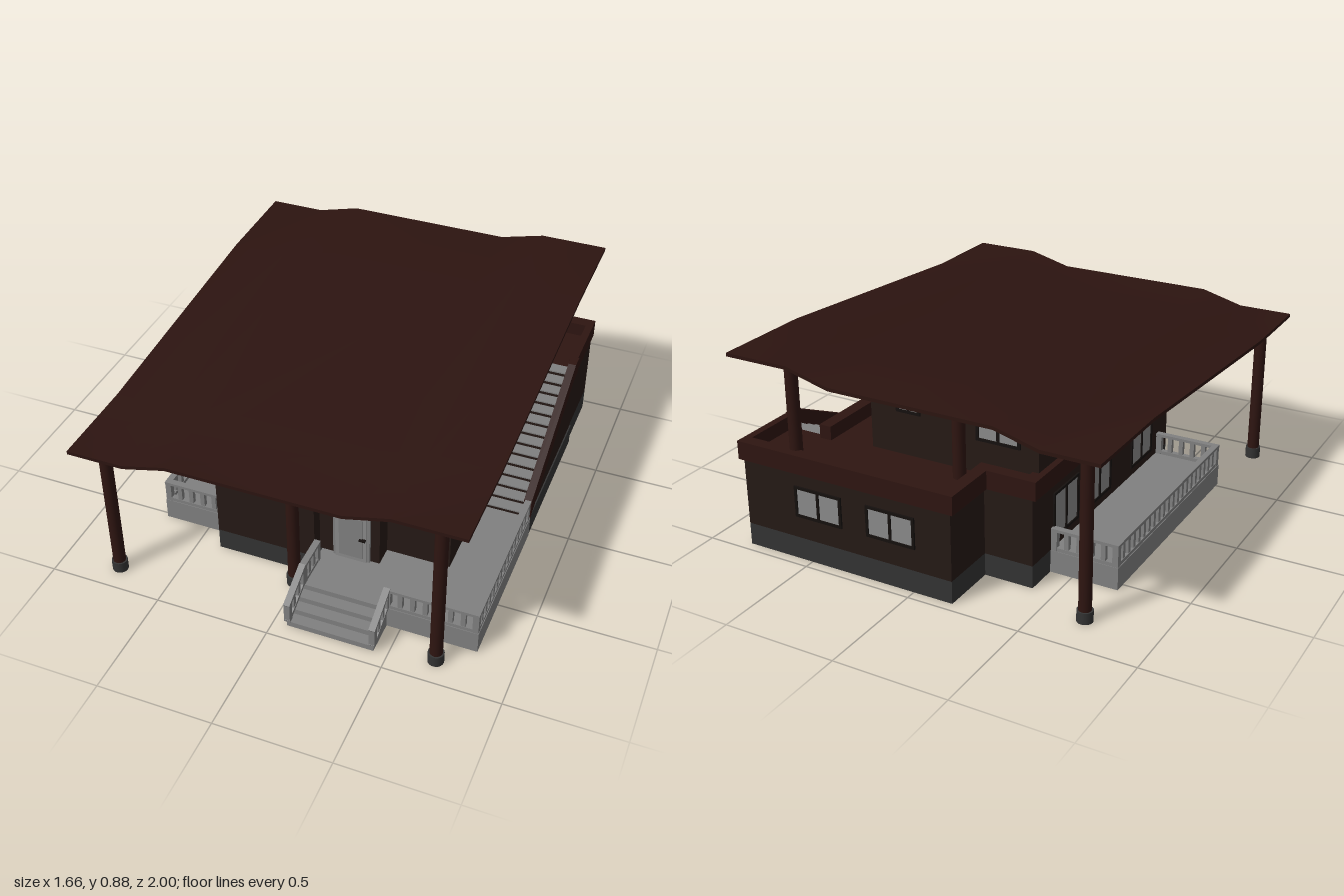
import * as THREE from 'three';

const mat = (color) => new THREE.MeshStandardMaterial({ color });
const ROOF = mat(0x2c1410), TRIM = mat(0x2e1511), WALL = mat(0x251915), BASE = mat(0x333333);
const STONE = mat(0x808080), GLASS = mat(0x8a8a8a), FRAME = mat(0x15100e);

export function createModel() {
  const model = new THREE.Group();

  const add = (name, geometry, material, parent = model) => {
    const mesh = new THREE.Mesh(geometry, material);
    mesh.name = name;
    parent.add(mesh);
    return mesh;
  };
  // Box given by its lower and upper limits on each axis
  const box = (name, x0, x1, y0, y1, z0, z1, material, parent) => {
    const mesh = add(name, new THREE.BoxGeometry(x1 - x0, y1 - y0, z1 - z0), material, parent);
    mesh.position.set((x0 + x1) / 2, (y0 + y1) / 2, (z0 + z1) / 2);
    return mesh;
  };
  // Footprint of [x, z] points raised from y0 to y1
  const slab = (name, points, y0, y1, material) => {
    const shape = new THREE.Shape(points.map(([x, z]) => new THREE.Vector2(x, z)));
    const geometry = new THREE.ExtrudeGeometry(shape, { depth: y1 - y0, bevelEnabled: false });
    geometry.rotateX(Math.PI / 2).translate(0, y1, 0);
    return add(name, geometry, material);
  };

  // Ground floor: plinth, walls and terrace deck share one footprint
  const plan = [[-0.4, 0.61], [0.05, 0.61], [0.05, 0.55], [0.32, 0.55], [0.32, 0.46], [0.6, 0.46],
    [0.6, -0.66], [0.82, -0.66], [0.82, -0.955], [-0.18, -0.955], [-0.18, -0.7], [-0.4, -0.7]];
  slab('plinth', plan, 0, 0.1, BASE);
  slab('groundFloorWalls', plan, 0.1, 0.41, WALL);
  slab('terraceDeck', plan, 0.41, 0.43, TRIM);

  // Parapet band along every edge, left open where the stair arrives
  const parapet = new THREE.Group();
  parapet.name = 'parapet';
  model.add(parapet);
  plan.forEach(([x0, z0], i) => {
    if (i === 6) return;
    const [x1, z1] = plan[(i + 1) % plan.length];
    const t = 0.028;
    box('parapetSection', Math.min(x0, x1) - t, Math.max(x0, x1) + (x0 > 0.7 ? 0.005 : t), 0.41, 0.492,
      Math.min(z0, z1) - t, Math.max(z0, z1) + t, TRIM, parapet);
  });

  // Upper floor
  box('upperFloor', -0.4, 0.385, 0.42, 0.757, -0.65, 0.385, WALL);

  // Roof: a thin sheet stepped across its width and sloped along its depth
  const xs = [-0.835, -0.59, -0.4, 0.335, 0.53, 0.825], rise = [0, 0, 0.05, 0.05, 0.1, 0.1];
  const zs = [-1, -0.55, 0.6, 1], slope = [0.08, 0.08, 0, 0];
  const roofGeometry = new THREE.BoxGeometry(5, 0.015, 3, 5, 1, 3);
  const pos = roofGeometry.attributes.position;
  for (let i = 0; i < pos.count; i++) {
    const a = Math.round(pos.getX(i) + 2.5), b = Math.round(pos.getZ(i) + 1.5);
    pos.setXYZ(i, xs[a], 0.697 + pos.getY(i) + rise[a] + slope[b], zs[b]);
  }
  roofGeometry.computeVertexNormals();
  add('roof', roofGeometry, ROOF);

  // Round posts, with a footing where they reach the ground
  const post = (x, z, y0, y1) => {
    const shaft = add('post', new THREE.CylinderGeometry(0.027, 0.027, y1 - y0, 20), TRIM);
    shaft.position.set(x, (y0 + y1) / 2, z);
    if (y0 > 0) return;
    add('postFooting', new THREE.CylinderGeometry(0.034, 0.034, 0.05, 20), BASE).position.set(x, 0.025, z);
  };
  post(-0.74, 0.885, 0, 0.697);
  post(-0.69, -0.81, 0, 0.775);
  post(-0.01, 0.69, 0, 0.745);
  post(0.69, 0.885, 0, 0.795);
  post(0.57, -0.92, 0.43, 0.875);
  post(-0.08, -0.72, 0.43, 0.825);

  // Window built facing +z, then turned towards its wall
  const windowUnit = (x, y, z, w, h, turn) => {
    const unit = new THREE.Group();
    unit.name = 'window';
    unit.position.set(x, y, z);
    unit.rotation.y = turn;
    model.add(unit);
    const b = 0.012;
    for (const s of [-1, 1]) {
      box('frameRail', -w / 2, w / 2, s * (h / 2 - b / 2) - b / 2, s * (h / 2 - b / 2) + b / 2, -0.005, 0.008, FRAME, unit);
      box('frameStile', s * (w / 2 - b / 2) - b / 2, s * (w / 2 - b / 2) + b / 2, -h / 2, h / 2, -0.005, 0.008, FRAME, unit);
      const pane = box('pane', b / 2, w / 2 - b, -h / 2 + b, h / 2 - b, -0.004, 0.003, GLASS, unit);
      pane.position.x *= s;
    }
    box('mullion', -b / 2, b / 2, -h / 2, h / 2, -0.005, 0.008, FRAME, unit);
  };
  const BACK = Math.PI, LEFT = Math.PI / 2, RIGHT = -Math.PI / 2;
  windowUnit(0.25, 0.665, 0.385, 0.115, 0.09, 0);
  windowUnit(0.385, 0.618, -0.1, 0.225, 0.125, LEFT);
  windowUnit(0.2, 0.665, -0.65, 0.115, 0.09, BACK);
  windowUnit(-0.22, 0.64, -0.65, 0.2, 0.13, BACK);
  for (const x of [0.45, 0.1]) windowUnit(x, 0.27, -0.955, 0.23, 0.14, BACK);
  for (const z of [-0.42, -0.11, 0.32]) windowUnit(-0.4, 0.245, z, 0.22, 0.21, RIGHT);
  for (const z of [-0.35, 0.1]) windowUnit(-0.4, 0.642, z, 0.22, 0.135, RIGHT);

  // Front door with frame, raised panels and handle
  box('doorFrame', 0.115, 0.28, 0.1, 0.39, 0.54, 0.562, STONE);
  box('doorLeaf', 0.127, 0.268, 0.1, 0.35, 0.55, 0.568, GLASS);
  box('doorPanel', 0.145, 0.25, 0.12, 0.335, 0.56, 0.572, STONE);
  box('doorHandle', 0.237, 0.265, 0.225, 0.232, 0.565, 0.582, FRAME);

  // Porches
  box('leftPorch', -0.705, -0.4, 0, 0.1, -0.55, 0.52, STONE);
  slab('rightPorch', [[0.06, 0.55], [0.32, 0.55], [0.32, 0.46], [0.6, 0.46], [0.6, 0.04], [0.83, 0.04],
    [0.83, 0.78], [0.06, 0.78]], 0, 0.1, STONE);
  for (let i = 1; i < 4; i++) {
    box('frontStep', 0.06, 0.44, 0, 0.1 - i * 0.025, 0.77, 0.78 + i * 0.05, STONE);
  }

  // Railing between two floor points; slopes when their heights differ
  const beam = (name, a, b, width, height, parent) => {
    const mesh = add(name, new THREE.BoxGeometry(width, height, a.distanceTo(b) + width), STONE, parent);
    mesh.position.copy(a).add(b).multiplyScalar(0.5);
    mesh.lookAt(b);
  };
  const railing = (from, to, height = 0.1) => {
    const rail = new THREE.Group();
    rail.name = 'railing';
    const a = new THREE.Vector3(...from), b = new THREE.Vector3(...to);
    const up = (p, h) => p.clone().setY(p.y + h);
    beam('handrail', up(a, height - 0.006), up(b, height - 0.006), 0.028, 0.013, rail);
    beam('bottomRail', up(a, 0.008), up(b, 0.008), 0.024, 0.016, rail);
    const n = Math.max(2, Math.round(a.distanceTo(b) / 0.05));
    for (let i = 0; i <= n; i++) {
      const p = a.clone().lerp(b, i / n), r = i % n ? 0.01 : 0.013;
      box('baluster', p.x - r, p.x + r, p.y, p.y + height - 0.006, p.z - r, p.z + r, STONE, rail);
    }
    model.add(rail);
  };
  railing([-0.69, 0.1, -0.535], [-0.69, 0.1, 0.505]);
  for (const z of [-0.535, 0.505]) railing([-0.69, 0.1, z], [-0.415, 0.1, z]);
  railing([0.815, 0.1, 0.06], [0.815, 0.1, 0.765]);
  railing([0.44, 0.1, 0.765], [0.815, 0.1, 0.765]);
  railing([0.065, 0.1, 0.625], [0.065, 0.1, 0.765]);
  for (const x of [0.065, 0.435]) railing([x, 0.1, 0.78], [x, 0.03, 0.925]);

  // Outside stair up to the terrace
  box('stairPlinth', 0.6, 0.828, 0, 0.1, -0.66, 0.04, BASE);
  const steps = 14, run = 0.7 / steps, lift = 0.33 / steps;
  for (let i = 0; i < steps; i++) {
    const y = 0.1 + (i + 1) * lift, z = 0.04 - i * run;
    box('stairRiser', 0.6, 0.805, 0.1, y - 0.006, z - run, z, WALL);
    box('stairTread', 0.6, 0.805, y - 0.006, y, z - run, z + 0.006, STONE);
  }
  // Side wall and sloping parapet, drawn as [z, y] profiles
  const sidePanel = (name, points, x0, x1, material) => {
    const shape = new THREE.Shape(points.map(([z, y]) => new THREE.Vector2(-z, y)));
    const geometry = new THREE.ExtrudeGeometry(shape, { depth: x1 - x0, bevelEnabled: false });
    geometry.rotateY(Math.PI / 2).translate(x0, 0, 0);
    add(name, geometry, material);
  };
  sidePanel('stairSideWall', [[0.04, 0.1], [-0.66, 0.1], [-0.66, 0.41], [-0.6, 0.41]], 0.8, 0.822, WALL);
  sidePanel('stairParapet', [[0.04, 0.1], [-0.6, 0.41], [-0.66, 0.41], [-0.66, 0.492], [-0.6, 0.492], [0.04, 0.195]],
    0.795, 0.83, TRIM);

  return model;
}
